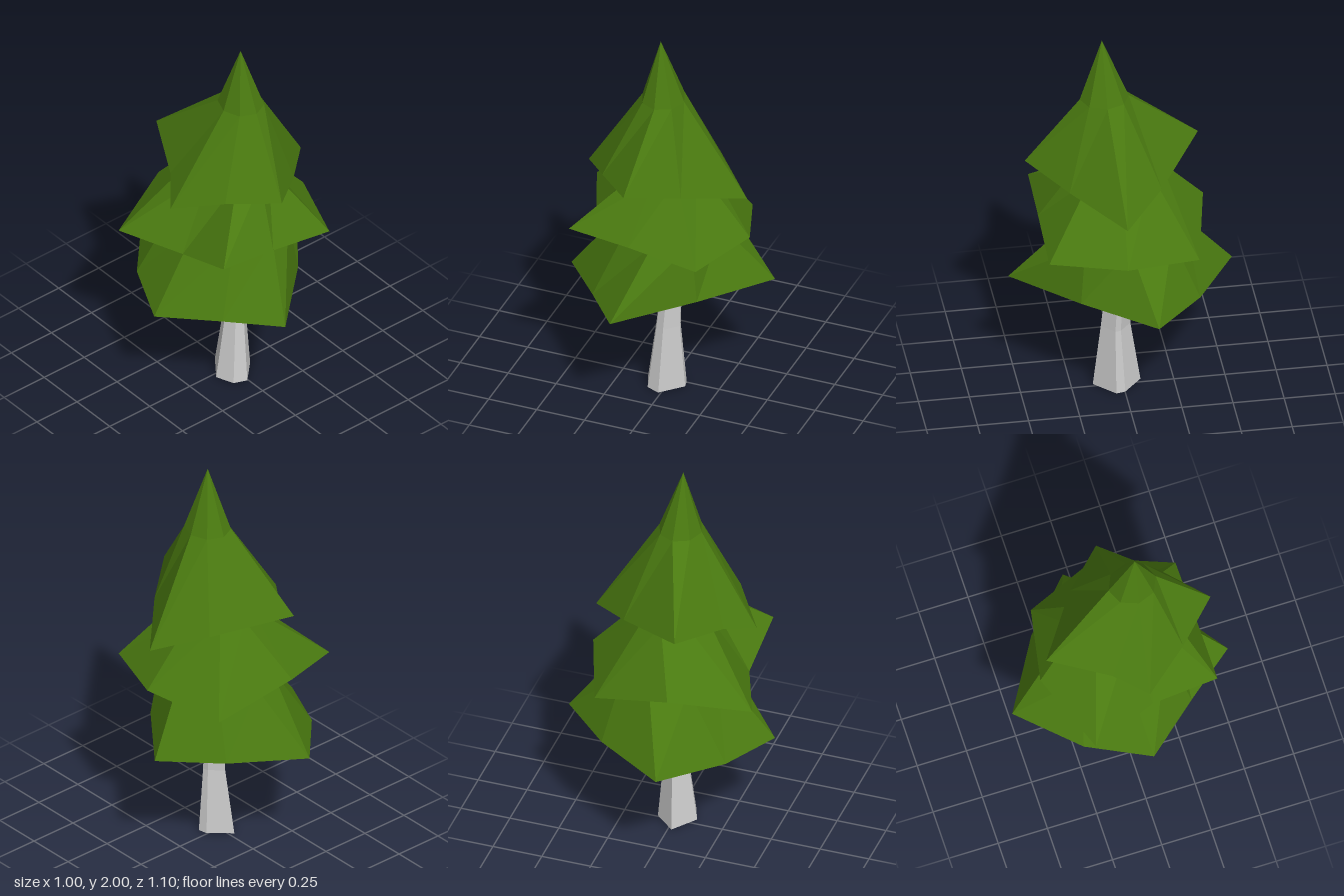
import * as THREE from 'three';

// Skins a stack of equal-length rings (each going right, front, left, back);
// a ring given as a single point closes the end.
function skin(rings, color, name) {
  const n = Math.max(...rings.map(r => r.length));
  const at = (ring, k) => ring[k % ring.length];
  const pos = [];
  for (let i = 0; i < rings.length - 1; i++) {
    const lo = rings[i], hi = rings[i + 1];
    for (let k = 0; k < n; k++) {
      const a0 = at(lo, k), a1 = at(lo, (k + 1) % n);
      const b0 = at(hi, k), b1 = at(hi, (k + 1) % n);
      if (lo.length > 1) pos.push(...a1, ...a0, ...b0);
      if (hi.length > 1) pos.push(...a1, ...b0, ...b1);
    }
  }
  const geo = new THREE.BufferGeometry();
  geo.setAttribute('position', new THREE.Float32BufferAttribute(pos, 3));
  geo.computeVertexNormals();
  const mesh = new THREE.Mesh(geo, new THREE.MeshStandardMaterial({ color, flatShading: true }));
  mesh.name = name;
  return mesh;
}

// Eight-sided elliptical ring for the waists between the tiers
function waist(cx, y, cz, rx, rz) {
  return Array.from({ length: 8 }, (_, k) => {
    const a = k * Math.PI / 4;
    return [cx + rx * Math.cos(a), y, cz + rz * Math.sin(a)];
  });
}

export function createModel() {
  const tree = new THREE.Group();
  tree.name = 'pineTree';

  // Trunk: irregular hexagon, tapering and leaning as it rises
  const base = [[0.09, 0.045], [-0.01, 0.145], [-0.075, 0.12], [-0.11, 0.03], [-0.02, -0.09], [0.08, 0]];
  const section = (y, cx, cz, s) =>
    base.map(([x, z]) => [cx + (x + 0.01) * s, y, cz + (z - 0.028) * s]);
  tree.add(skin([
    [[-0.01, 0.005, 0.028]],
    section(0.01, -0.01, 0.028, 1),
    section(0.35, 0, 0.035, 0.62),
    section(0.68, 0.018, 0.02, 0.48),
    [[0.018, 0.68, 0.02]],
  ], 0xcccccc, 'trunk'));

  // Skirt edges: the pointed corners alternate from tier to tier
  const lower = [
    [0.5, 0.64, -0.1], [0.23, 0.645, 0.24], [-0.1, 0.62, 0.545], [-0.29, 0.6, 0.3],
    [-0.505, 0.58, 0.04], [-0.36, 0.6, -0.27], [-0.1, 0.62, -0.55], [0.25, 0.635, -0.34],
  ];
  const middle = [
    [0.425, 0.945, 0.04], [0.29, 0.93, 0.405], [-0.06, 0.985, 0.405], [-0.37, 1.02, 0.405],
    [-0.36, 0.915, 0.08], [-0.49, 0.925, -0.25], [-0.11, 1.0, -0.41], [0.29, 0.88, -0.33],
  ];
  const upper = [
    [0.41, 1.165, 0.04], [0.165, 1.25, 0.285], [-0.06, 1.31, 0.47], [-0.25, 1.28, 0.27],
    [-0.41, 1.2, 0.05], [-0.29, 1.27, -0.1], [-0.14, 1.34, -0.39], [0.2, 1.25, -0.16],
  ];

  // Foliage: three skirts joined by waists, rising to the tip
  tree.add(skin([
    [[0, 0.63, 0.02]],
    lower,
    waist(0.02, 0.95, 0, 0.24, 0.3),
    middle,
    waist(0, 1.275, 0.025, 0.14, 0.21),
    upper,
    waist(-0.005, 1.675, 0.09, 0.108, 0.12),
    [[-0.015, 2, 0.1]],
  ], 0x4a7a10, 'foliage'));

  return tree;
}
